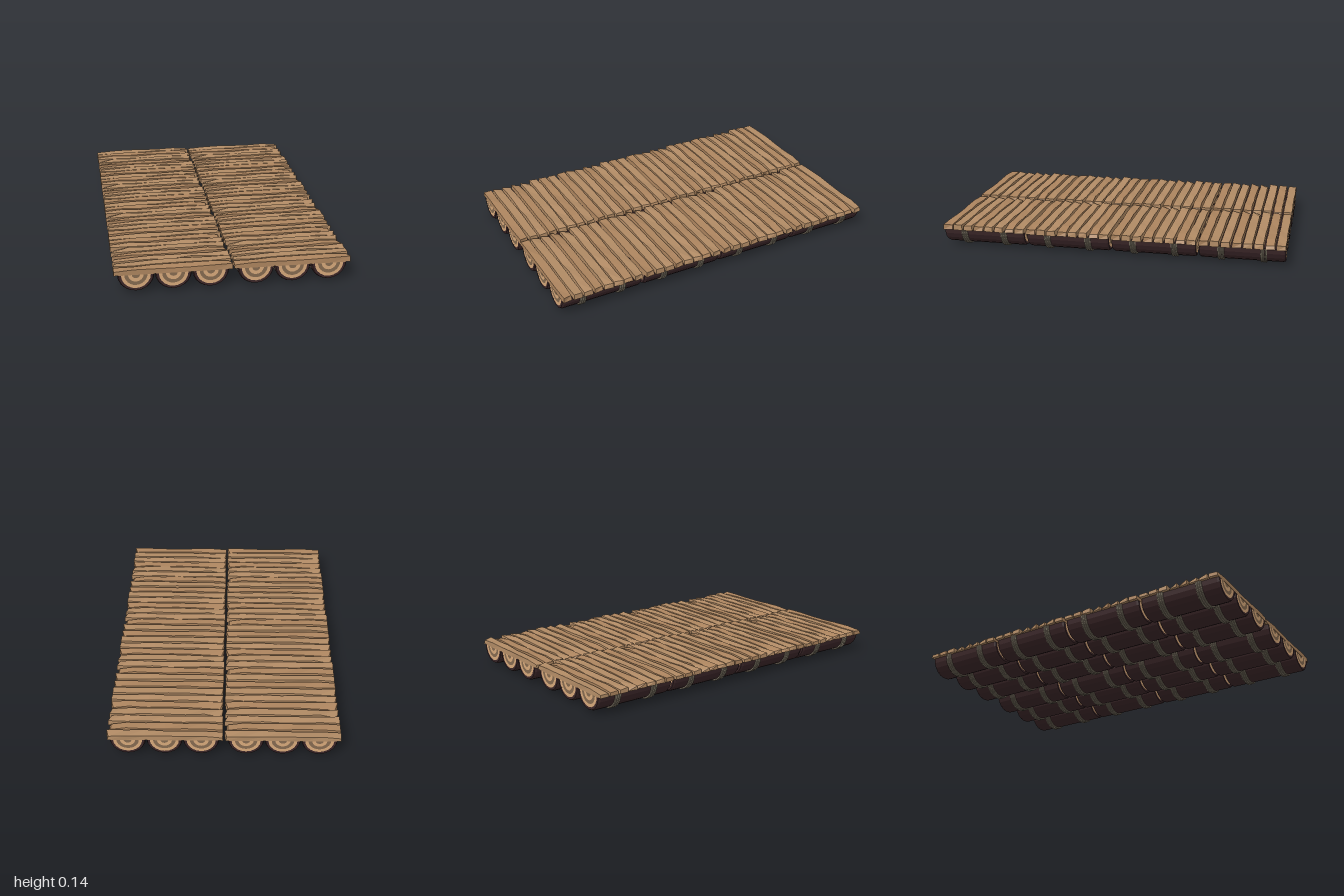
import * as THREE from 'three';

const mat = (color, extra = {}) => new THREE.MeshStandardMaterial({ color, flatShading: true, ...extra });
const plankMats = [mat(0xb08a64), mat(0xac845e), mat(0xb38c66)];
const barkMat = mat(0x3b2628);
const ropeMat = mat(0x8c8270);
const lightWood = mat(0xd9aa7c);
const darkWood = mat(0x866b50);

const LOG_Y = 0.11, LOG_R = 0.1, HALF = 0.243;

function seeded(seed) {
  let s = seed;
  return () => (s = (s * 16807) % 2147483647) / 2147483647;
}

function add(parent, name, geometry, material, x = 0, y = 0, z = 0) {
  const mesh = new THREE.Mesh(geometry, material);
  mesh.name = name;
  mesh.position.set(x, y, z);
  parent.add(mesh);
  return mesh;
}

// Rough board: uneven top and chipped end corners
function plankGeometry(index) {
  const rand = seeded(977 + index * 7919);
  for (let i = 0; i < 5; i++) rand();
  const L = 0.645, W = 0.054, T = 0.036, N = 6;
  const geo = new THREE.BoxGeometry(L, T, W, N, 1, 1);
  const grid = () => Array.from({ length: N + 1 }, () => [rand(), rand()]);
  const drop = grid(), shift = grid();
  const chip = [0, 1].map(() => [rand(), rand()].map(v => (v > 0.6 ? 0.022 : 0.006) * v));
  const tilt = (rand() - 0.5) * 0.008;
  const p = geo.attributes.position;
  for (let i = 0; i < p.count; i++) {
    let x = p.getX(i), y = p.getY(i), z = p.getZ(i);
    const col = Math.round((x / L + 0.5) * N), side = z > 0 ? 1 : 0;
    const end = col === 0 ? 0 : col === N ? 1 : -1;
    const top = y > 0;
    if (top) {
      y -= drop[col][side] * 0.009 + Math.abs(tilt) + tilt * (x / L) * 2;
      z -= Math.sign(z) * shift[col][side] * 0.004;
    }
    if (end >= 0) {
      x -= Math.sign(x) * chip[end][side] * (top ? 1 : 0.5);
      if (top) y -= chip[end][side] * 0.5;
    }
    p.setXYZ(i, x, y, z);
  }
  geo.computeVertexNormals();
  return geo;
}
const planks = Array.from({ length: 8 }, (_, i) => plankGeometry(i));

// Half-round bark shell with slightly bevelled rims
const barkGeo = new THREE.LatheGeometry(
  [[0.08, -HALF], [0.094, -HALF], [LOG_R, -HALF + 0.012], [LOG_R, HALF - 0.012], [0.094, HALF], [0.08, HALF]]
    .map(([r, y]) => new THREE.Vector2(r, y)), 10, -Math.PI / 2, Math.PI).rotateX(Math.PI / 2);
const flatGeo = new THREE.BoxGeometry(LOG_R * 1.96, 0.004, HALF * 2 - 0.01);
const strandGeo = new THREE.TorusGeometry(0.1035, 0.0065, 6, 12, Math.PI).rotateZ(Math.PI);
const ringRadii = [0, 0.022, 0.042, 0.062, 0.082];
const ringGeos = ringRadii.slice(1).map((r, i) =>
  new THREE.RingGeometry(ringRadii[i], r, 12, 1, Math.PI, Math.PI));

function makeLog() {
  const log = new THREE.Group();
  log.name = 'halfLog';
  add(log, 'bark', barkGeo, barkMat);
  add(log, 'sawnFace', flatGeo, barkMat, 0, -0.002, 0);
  // Growth rings on both ends
  for (const s of [1, -1]) {
    ringGeos.forEach((geo, i) => {
      const ring = add(log, 'growthRing', geo, i % 2 ? lightWood : darkWood, 0, 0, s * (HALF - 0.001));
      if (s < 0) ring.rotation.y = Math.PI;
    });
    // Rope lashing of three strands
    for (let k = -1; k <= 1; k++) add(log, 'ropeStrand', strandGeo, ropeMat, 0, 0, s * 0.12 + k * 0.0125);
  }
  return log;
}

function makeSection() {
  const section = new THREE.Group();
  section.name = 'raftSection';
  for (let i = -1; i <= 1; i++) {
    const log = makeLog();
    log.position.set(i * 0.202, LOG_Y, 0);
    section.add(log);
  }
  planks.forEach((geo, i) =>
    add(section, 'plank', geo, plankMats[i % 3], 0, 0.126, (i - 3.5) * 0.062));
  return section;
}

export function createModel() {
  const model = new THREE.Group();
  model.name = 'logDeck';
  // Two columns of four identical sections
  for (const x of [-0.3255, 0.3255]) {
    for (let row = 0; row < 4; row++) {
      const section = makeSection();
      section.position.set(x, 0, (row - 1.5) * 0.504);
      model.add(section);
    }
  }
  return model;
}
